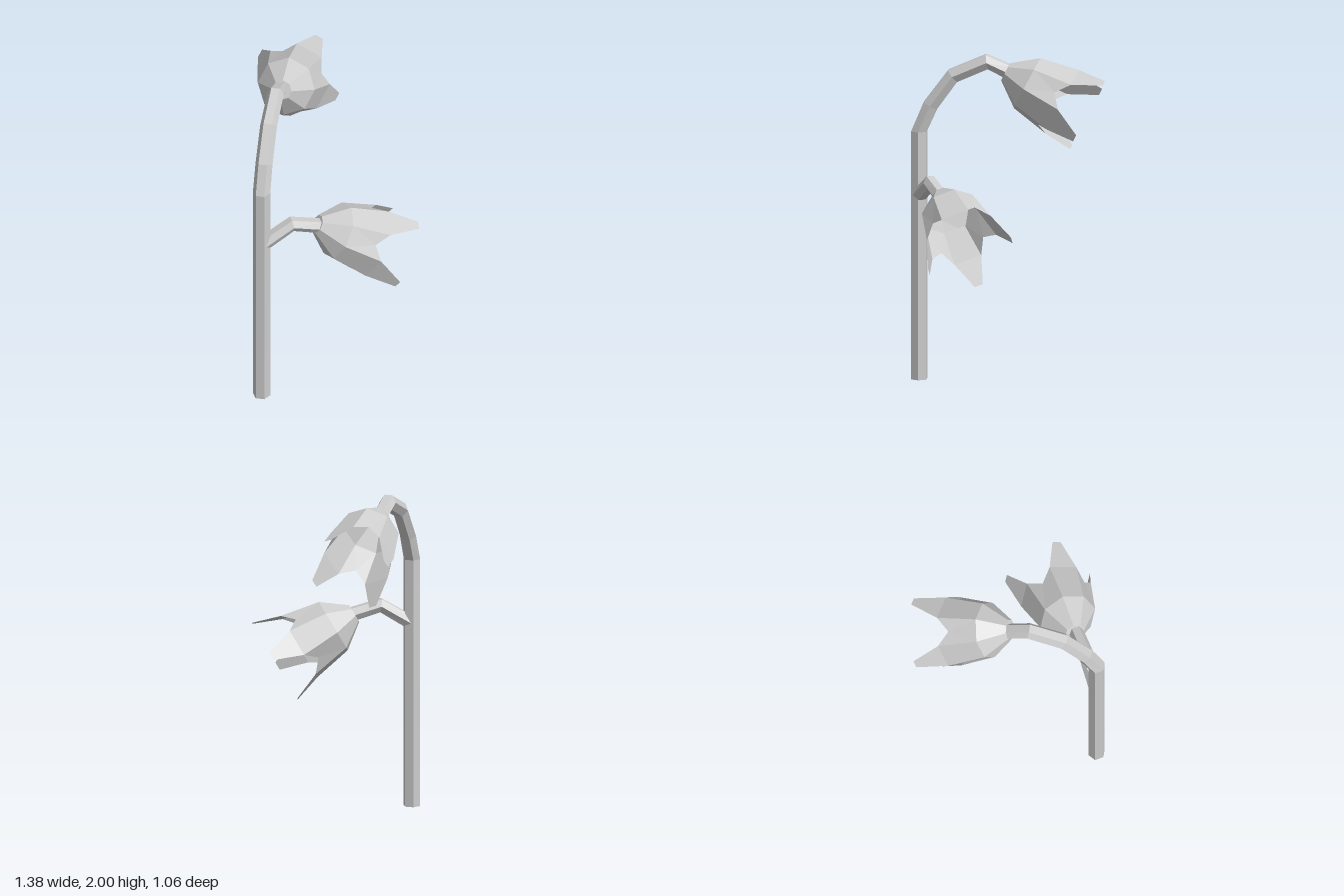
import * as THREE from 'three';

const rad = THREE.MathUtils.degToRad;
const material = new THREE.MeshStandardMaterial({ color: 0xcccccc, flatShading: true, side: THREE.DoubleSide });
const UP = new THREE.Vector3(0, 1, 0);

// Mesh from a list of quads and triangles (each a list of Vector3)
function facetedMesh(name, faces) {
  const points = [];
  for (const f of faces) {
    for (let i = 1; i < f.length - 1; i++) points.push(f[0], f[i], f[i + 1]);
  }
  const geometry = new THREE.BufferGeometry().setFromPoints(points);
  geometry.computeVertexNormals();
  const mesh = new THREE.Mesh(geometry, material);
  mesh.name = name;
  return mesh;
}

// Six-sided stalk bending in one vertical plane.
// Each section: [distance along heading, height, radius, tilt from vertical]
function stalk(name, root, heading, sections) {
  const side = new THREE.Vector3(-heading.z, 0, heading.x);
  const rings = sections.map(([s, y, r, tilt]) => {
    const centre = root.clone().addScaledVector(heading, s).setY(y);
    const normal = heading.clone().multiplyScalar(-Math.cos(rad(tilt))).addScaledVector(UP, Math.sin(rad(tilt)));
    return Array.from({ length: 6 }, (_, k) => {
      const a = rad(30 + 60 * k);
      return centre.clone().addScaledVector(normal, r * Math.cos(a)).addScaledVector(side, r * Math.sin(a));
    });
  });
  const faces = [rings[0], [...rings[rings.length - 1]].reverse()];
  for (let i = 0; i < rings.length - 1; i++) {
    for (let k = 0; k < 6; k++) {
      const n = (k + 1) % 6;
      faces.push([rings[i][k], rings[i + 1][k], rings[i + 1][n], rings[i][n]]);
    }
  }
  // faces wind outward
  return facetedMesh(name, faces.map((f) => [...f].reverse()));
}

// Eight-sided bell opening into four pointed petals, along local +y
function flower(name, base, heading, pitch) {
  const at = (deg, t, r) => new THREE.Vector3(r * Math.cos(rad(deg)), t, -r * Math.sin(rad(deg)));
  const neck = (a) => at(a, 0, 0.06);
  const belly = (a) => at(a, 0.147, 0.175);
  const shoulder = (a) => at(a, 0.386, 0.222);
  const notch = (a) => at(a, 0.32, 0.19);
  const tip = (a) => at(a, 0.556, 0.268);
  const faces = [Array.from({ length: 8 }, (_, k) => neck(-45 * k))];
  for (let i = 0; i < 4; i++) {
    const a = 90 * i, b = a + 45, c = a + 90;
    faces.push(
      [neck(a), neck(b), belly(b), belly(a)],
      [neck(b), neck(c), belly(c), belly(b)],
      [belly(a), belly(b), shoulder(b), shoulder(a)],
      [belly(b), belly(c), notch(b + 22.5)],
      [belly(b), notch(b + 22.5), shoulder(b)],
      [belly(a), shoulder(a), notch(a - 22.5)],
      [shoulder(a), shoulder(b), tip(a + 28), tip(a + 17)],
    );
  }
  const mesh = facetedMesh(name, faces);
  // aim the bell along the heading, drooping by the pitch
  const axis = heading.clone().multiplyScalar(Math.cos(rad(pitch))).addScaledVector(UP, -Math.sin(rad(pitch)));
  const top = heading.clone().multiplyScalar(Math.sin(rad(pitch))).addScaledVector(UP, Math.cos(rad(pitch)));
  const third = new THREE.Vector3().crossVectors(top, axis);
  mesh.quaternion.setFromRotationMatrix(new THREE.Matrix4().makeBasis(top, axis, third));
  mesh.position.copy(base);
  return mesh;
}

export function createModel() {
  const group = new THREE.Group();
  group.name = 'droopingFlowers';
  const root = new THREE.Vector3(0.115, 0, 0.468);
  const mainHeading = new THREE.Vector3(-0.575, 0, -0.818).normalize();
  const sideHeading = new THREE.Vector3(0.445, 0, -0.895).normalize();

  // Tall stem arching over at the top
  group.add(stalk('mainStem', root, mainHeading, [
    [0, 0, 0.053, 0],
    [0, 1.52, 0.053, 0],
    [0.07, 1.68, 0.052, 30],
    [0.205, 1.865, 0.051, 51],
    [0.412, 1.957, 0.05, 82],
    [0.55, 1.895, 0.048, 112],
  ]));
  // Short side branch
  group.add(stalk('sideBranch', root, sideHeading, [
    [0, 1.124, 0.046, 60],
    [0.19, 1.24, 0.046, 82],
    [0.36, 1.19, 0.045, 107],
  ]));
  // Nodding flowers
  group.add(flower('topFlower', new THREE.Vector3(-0.175, 1.9, 0.03), mainHeading, 27));
  group.add(flower('sideFlower', new THREE.Vector3(0.263, 1.195, 0.15), sideHeading, 30));
  return group;
}
